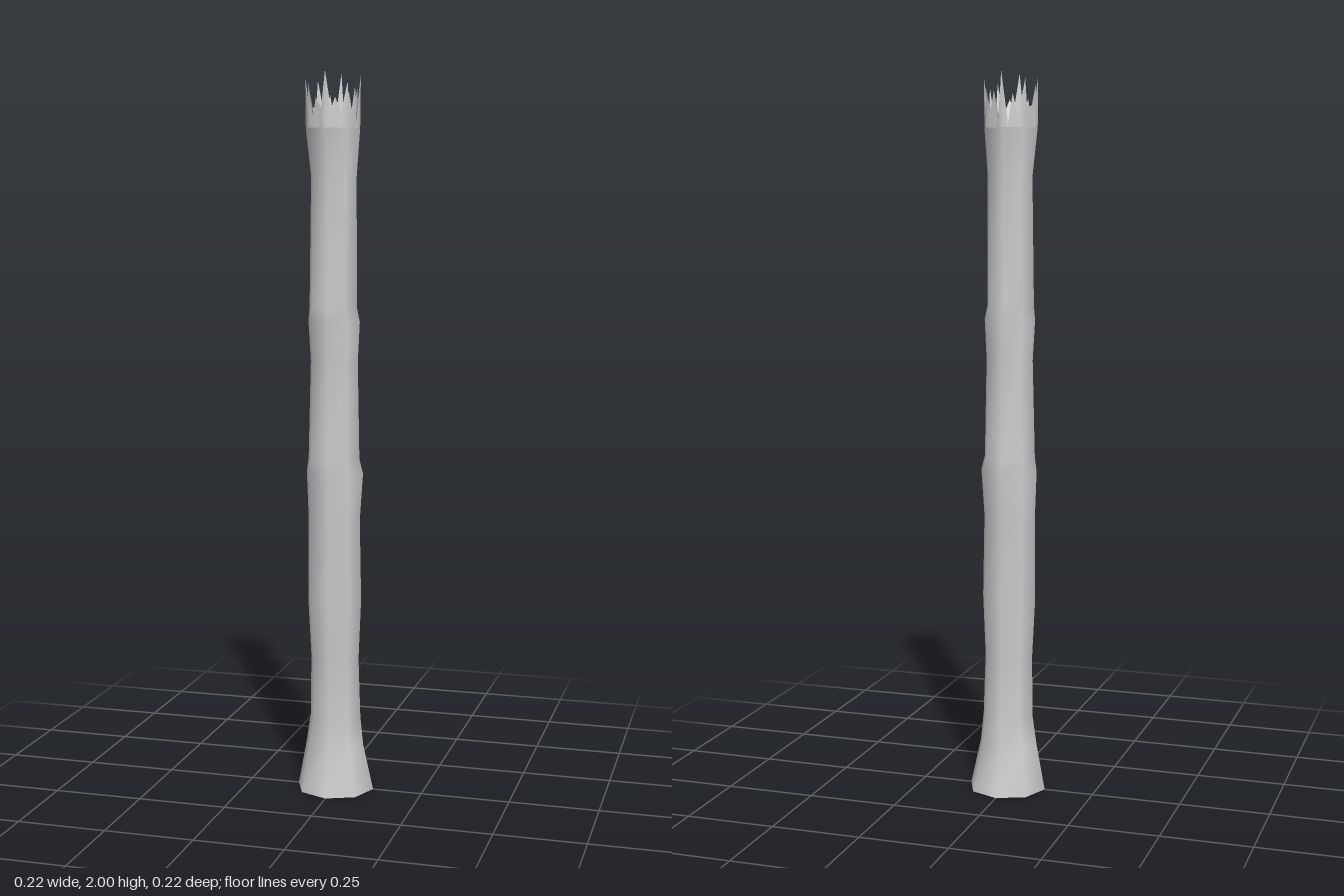
import * as THREE from 'three';

const material = new THREE.MeshStandardMaterial({ color: 0xcccccc, side: THREE.DoubleSide });

// Skin a stack of closed rings (each a list of [x, y, z]) with smooth normals.
function loft(name, rings) {
  const n = rings[0].length, index = [];
  for (let k = 0; k < rings.length - 1; k++) {
    for (let i = 0; i < n; i++) {
      const j = (i + 1) % n, a = k * n, b = a + n;
      index.push(a + i, a + j, b + j, a + i, b + j, b + i);
    }
  }
  const geometry = new THREE.BufferGeometry();
  geometry.setAttribute('position', new THREE.Float32BufferAttribute(rings.flat(2), 3));
  geometry.setIndex(index);
  geometry.computeVertexNormals();
  const mesh = new THREE.Mesh(geometry, material);
  mesh.name = name;
  return mesh;
}

const SIDES = 8, COLS = 32;
const TOP = { x: -0.002, z: 0.022, r: 0.076, y: 1.85 };

// Point on a ring around the trunk's top centre.
const around = (a, r, y) => [TOP.x + r * Math.sin(a), y, TOP.z + r * Math.cos(a)];

// Distance to the flat edge of an octagon at angle a, for corner radius 1.
function octagon(a) {
  const step = (2 * Math.PI) / SIDES;
  return Math.cos(step / 2) / Math.cos((a % step) - step / 2);
}

export function createModel() {
  const group = new THREE.Group();
  group.name = 'brokenTrunk';

  // Trunk: height, centre x, centre z, radius; flared foot and swollen joints
  const sections = [
    [0, 0, 0, 0.11], [0.13, -0.002, 0.002, 0.083], [0.21, 0, 0.003, 0.073],
    [0.38, -0.001, 0.006, 0.069], [0.55, -0.001, 0.009, 0.077], [0.78, -0.002, 0.01, 0.074],
    [0.91, 0, 0.01, 0.081], [0.95, -0.002, 0.012, 0.073], [1.22, 0, 0.016, 0.067],
    [1.33, 0, 0.018, 0.073], [1.37, -0.002, 0.02, 0.067], [1.72, 0, 0.02, 0.064],
    [TOP.y, TOP.x, TOP.z, TOP.r],
  ];
  group.add(loft('trunk', sections.map(([y, cx, cz, r]) =>
    Array.from({ length: SIDES }, (_, i) => {
      const a = (i / SIDES) * 2 * Math.PI;
      return [cx + r * Math.sin(a), y, cz + r * Math.cos(a)];
    }))));

  // Splintered crown: tall and short teeth around the broken rim
  const tall = [2.0, 1.97, 1.99, 1.96, 2.0, 1.98, 1.99, 1.97];
  const short = [1.93, 1.96, 1.92, 1.95, 1.94, 1.91, 1.96, 1.93];
  const valley = [1.87, 1.9, 1.86, 1.89, 1.88];
  const base = [], rim = [], floor = [];
  for (let i = 0; i < COLS; i++) {
    const a = (i / COLS) * 2 * Math.PI, t = Math.floor(i / 4);
    const height = i % 4 === 0 ? tall[t] : i % 4 === 2 ? short[t] : valley[i % 5];
    const radius = i % 4 === 0 ? 0.078 : i % 4 === 2 ? 0.073 : 0.07;
    const lean = i % 2 ? 0 : 0.04 * Math.sin(i * 2.3);
    base.push(around(a, TOP.r * octagon(a), TOP.y));
    rim.push(around(a + lean, radius, height));
    floor.push(around(a, 0.061 * octagon(a), TOP.y));
  }
  group.add(loft('splintersOutside', [base, rim]));
  group.add(loft('splintersInside', [rim, floor]));

  // Flat break inside the crown
  const cap = new THREE.Mesh(new THREE.CircleGeometry(0.061, SIDES), material);
  cap.name = 'breakSurface';
  cap.rotation.x = -Math.PI / 2;
  cap.position.set(TOP.x, TOP.y, TOP.z);
  group.add(cap);

  return group;
}
